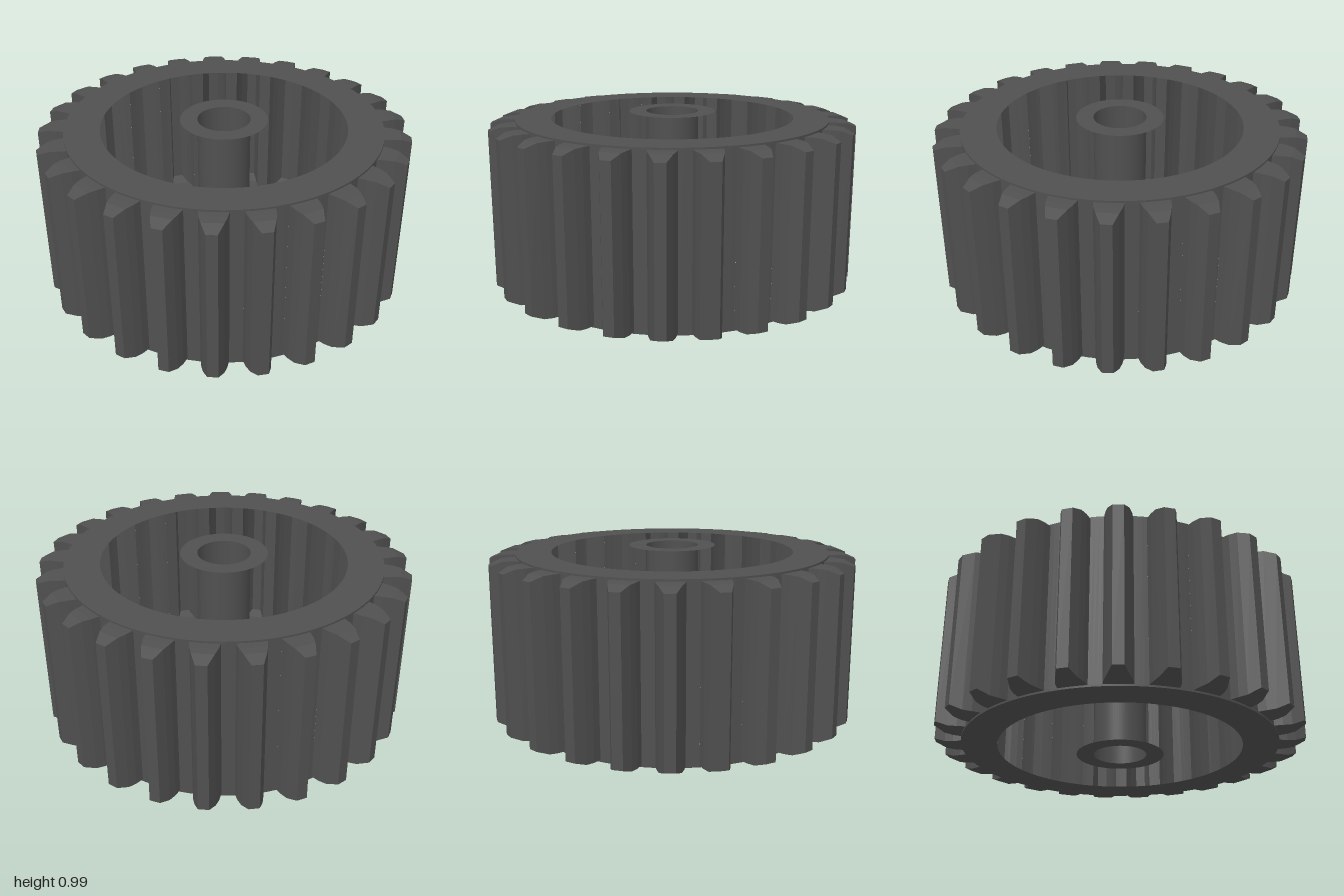
import * as THREE from 'three';

const TEETH = 25;
const PITCH = (Math.PI * 2) / TEETH;
const MID = 0.4925; // half height of the whole gear
const LIP = 0.465; // half height of the rim rings
const ROOT = 0.853; // root radius

// Tooth rows from root to tip: half width, radius, half height
const ROWS = [
  [0.073, 0.85, 0.455],
  [0.067, 0.895, 0.455],
  [0.054, 0.94, 0.452],
  [0.028, 1.0, 0.428],
];

// One tooth with the valley beside it, pointing to +z
function toothGeometry() {
  const pos = [];
  const quad = (a, b, c, d) => pos.push(...a, ...b, ...c, ...a, ...c, ...d);
  const at = ([x, z, h], s) => [x, s * h, z];
  const left = ROWS.map(([w, r, h]) => [-w, r, h]);
  const outline = [...left, ...[...ROWS].reverse()];

  // Valley arc up to the next tooth
  const a0 = Math.atan2(ROWS[0][0], ROWS[0][1]);
  for (let i = 1; i <= 3; i++) {
    const a = a0 + ((PITCH - 2 * a0) * i) / 3;
    outline.push([Math.sin(a) * ROOT, Math.cos(a) * ROOT, 0.455]);
  }

  // Upright walls
  for (let i = 0; i < outline.length - 1; i++) {
    const p = outline[i], q = outline[i + 1];
    quad(at(p, -1), at(q, -1), at(q, 1), at(p, 1));
  }

  // Bevelled tooth ends
  for (let i = 0; i < ROWS.length - 1; i++) {
    const l0 = left[i], l1 = left[i + 1], r0 = ROWS[i], r1 = ROWS[i + 1];
    quad(at(l1, 1), at(r1, 1), at(r0, 1), at(l0, 1));
    quad(at(l0, -1), at(r0, -1), at(r1, -1), at(l1, -1));
  }

  const g = new THREE.BufferGeometry();
  g.setAttribute('position', new THREE.Float32BufferAttribute(pos, 3));
  g.computeVertexNormals();
  return g;
}

export function createModel() {
  const gear = new THREE.Group();
  gear.name = 'gear';
  const smooth = new THREE.MeshStandardMaterial({ color: 0x505050, side: THREE.DoubleSide });
  const flat = smooth.clone();
  flat.flatShading = true;

  const add = (name, geometry, y, material = smooth) => {
    const mesh = new THREE.Mesh(geometry, material);
    mesh.name = name;
    mesh.position.y = y;
    gear.add(mesh);
    return mesh;
  };

  // Toothed shell, open on the inside
  const tooth = toothGeometry();
  for (let i = 0; i < TEETH; i++) {
    add('tooth', tooth, MID, flat).rotation.y = Math.PI + i * PITCH;
  }

  // Rim rings, their thin lips, and the hub flanges at both ends
  const lip = new THREE.CylinderGeometry(0.855, 0.855, 0.012, 96, 1, true);
  const rim = new THREE.RingGeometry(0.663, 0.855, 96);
  const flange = new THREE.RingGeometry(0.143, 0.236, 64);
  for (const s of [1, -1]) {
    const end = s > 0 ? 'top' : 'bottom';
    add(end + 'RimRing', rim, MID + s * LIP).rotation.x = (-s * Math.PI) / 2;
    add(end + 'RimLip', lip, MID + s * (LIP - 0.006));
    add(end + 'HubFlange', flange, MID + s * MID).rotation.x = (-s * Math.PI) / 2;
  }

  // Hollow hub
  add('hubTube', new THREE.CylinderGeometry(0.143, 0.143, 2 * MID, 64, 1, true), MID);

  return gear;
}
